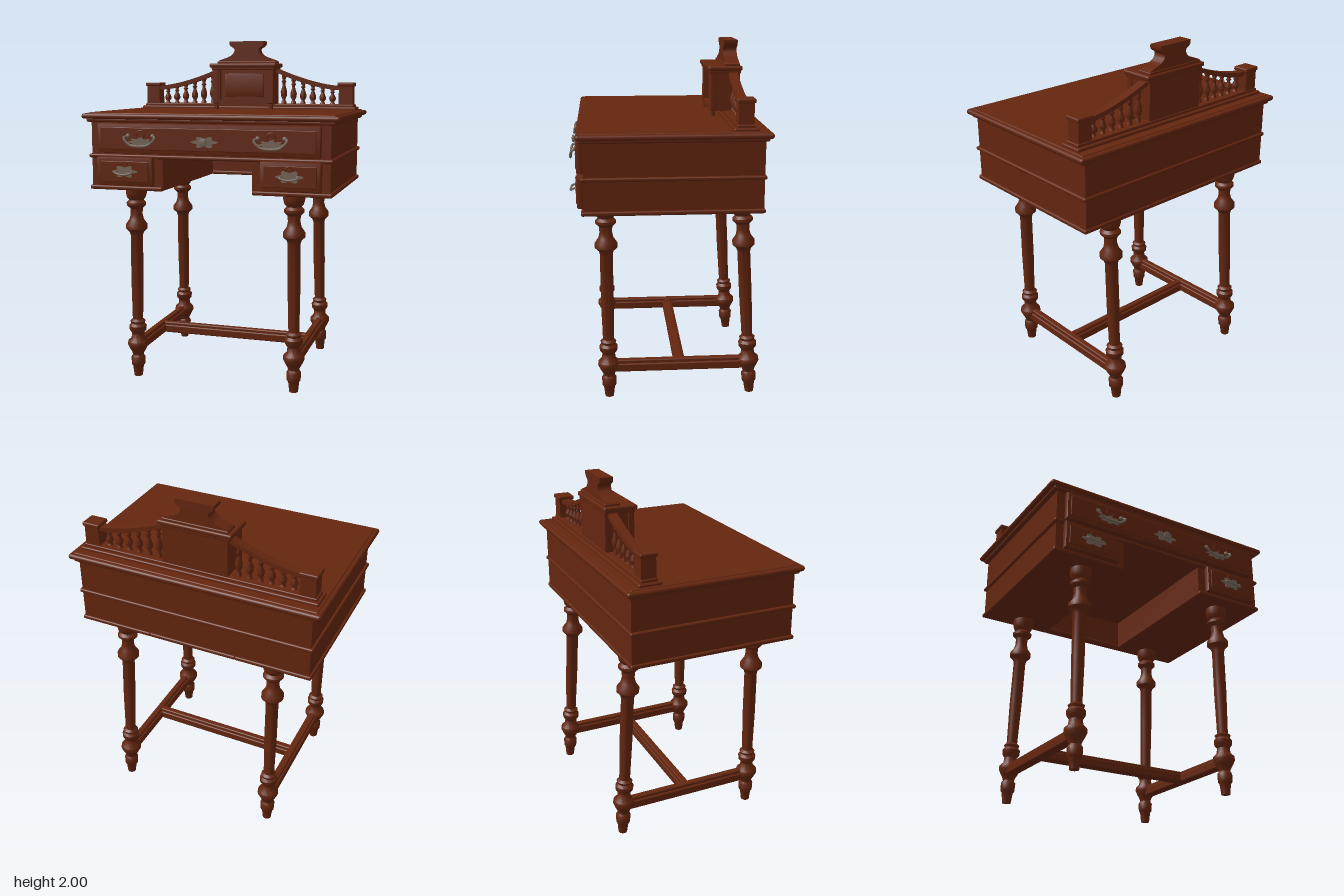
import * as THREE from 'three';
import { RoundedBoxGeometry } from 'three/addons/geometries/RoundedBoxGeometry.js';
import { toCreasedNormals } from 'three/addons/utils/BufferGeometryUtils.js';

const wood = new THREE.MeshStandardMaterial({ color: 0x64260f });
wood.name = 'reddish wood';
const metal = new THREE.MeshStandardMaterial({ color: 0x77675a });
metal.name = 'aged metal';

export function createModel() {
  const desk = new THREE.Group();
  desk.name = 'writingDesk';

  const add = (name, geo, mat = wood, parent = desk) => {
    const m = new THREE.Mesh(geo, mat);
    m.name = name;
    parent.add(m);
    return m;
  };
  // Box given by its limits; r > 0 rounds the edges
  const box = (name, x0, x1, y0, y1, z0, z1, r = 0, mat = wood) => {
    const s = [x1 - x0, y1 - y0, z1 - z0];
    const g = r ? new RoundedBoxGeometry(...s, 3, r) : new THREE.BoxGeometry(...s);
    const m = add(name, g, mat);
    m.position.set((x0 + x1) / 2, (y0 + y1) / 2, (z0 + z1) / 2);
    return m;
  };
  // The same box on both sides
  const pair = (name, x0, x1, ...rest) => {
    box(name + 'Left', x0, x1, ...rest);
    box(name + 'Right', -x1, -x0, ...rest);
  };
  const lathe = (pts, seg) => toCreasedNormals(
    new THREE.LatheGeometry(pts.map(([r, y]) => new THREE.Vector2(r, y)), seg), 0.7);
  const extrude = (shape, depth, bevel = 0) => toCreasedNormals(new THREE.ExtrudeGeometry(shape, {
    depth, bevelEnabled: bevel > 0, bevelSize: bevel, bevelThickness: bevel, bevelOffset: -bevel,
    bevelSegments: 2, curveSegments: 12 }), 0.6);
  const rect = (P, x0, x1, y0, y1) => new P([[x0, y0], [x1, y0], [x1, y1], [x0, y1]]
    .map(p => new THREE.Vector2(...p)));

  // Table top with a stepped moulding
  box('tableTop', -0.74, 0.74, 1.543, 1.573, -0.53, 0.49, 0.014);
  box('tableTopField', -0.715, 0.715, 1.56, 1.578, -0.505, 0.465, 0.006);
  box('underTopMoulding', -0.715, 0.715, 1.525, 1.55, -0.512, 0.475, 0.01);

  // Upper case, dividing moulding, two pedestals and back
  box('upperCase', -0.69, 0.69, 1.335, 1.535, -0.495, 0.455);
  box('middleMoulding', -0.705, 0.705, 1.322, 1.344, -0.505, 0.47, 0.009);
  pair('pedestal', 0.26, 0.69, 1.15, 1.33, -0.495, 0.455);
  pair('pedestalMoulding', 0.26, 0.703, 1.14, 1.164, -0.503, 0.468, 0.009);
  box('kneeholeBack', -0.265, 0.265, 1.15, 1.33, -0.495, -0.46);
  box('kneeholeBackMoulding', -0.265, 0.265, 1.14, 1.164, -0.503, -0.455, 0.009);

  // Drawer fronts with a bevelled edge
  const drawer = (name, x0, x1, y0, y1) => {
    add(name, extrude(rect(THREE.Shape, x0, x1, y0, y1), 0.026, 0.009)).position.z = 0.455;
    box(name + 'Panel', x0 + 0.022, x1 - 0.022, y0 + 0.022, y1 - 0.022, 0.475, 0.494, 0.004);
  };
  drawer('wideDrawer', -0.64, 0.64, 1.352, 1.52);
  drawer('smallDrawerLeft', 0.31, 0.645, 1.168, 1.33);
  drawer('smallDrawerRight', -0.645, -0.31, 1.168, 1.33);

  // Metal fittings: scalloped plate, bail handle and knob
  const plate = (w, h, lobes) => {
    const pts = [];
    for (let i = 0; i < 48; i++) {
      const a = i / 48 * Math.PI * 2, k = 0.82 + 0.18 * Math.cos(lobes * a);
      pts.push(new THREE.Vector2(Math.cos(a) * w * k, Math.sin(a) * h * k));
    }
    return extrude(new THREE.Shape(pts), 0.008);
  };
  const bail = (w, top, drop, r) => new THREE.TubeGeometry(new THREE.CatmullRomCurve3(
    [[-w * 0.8, top, 0], [-w, top - 0.01, 0.025], [-w * 0.6, -drop * 0.75, 0.032], [0, -drop, 0.034],
      [w * 0.6, -drop * 0.75, 0.032], [w, top - 0.01, 0.025], [w * 0.8, top, 0]]
      .map(p => new THREE.Vector3(...p))), 28, r, 8);
  const fitting = (name, x, y) => {
    const g = new THREE.Group();
    g.name = name;
    g.position.set(x, y, 0.492);
    desk.add(g);
    return g;
  };
  for (const s of [1, -1]) {
    const side = s > 0 ? 'Left' : 'Right';
    const h = fitting('wideDrawerHandle' + side, s * 0.375, 1.43);
    add('bail', bail(0.092, 0.022, 0.034, 0.007), metal, h);
    add('backPlate', plate(0.08, 0.026, 8), metal, h).position.y = -0.012;
    for (const e of [1, -1])
      add('rosette', new THREE.SphereGeometry(0.013, 12, 8), metal, h).position.set(e * 0.074, 0.022, 0.004);
    add('keyRing', new THREE.TorusGeometry(0.022, 0.004, 6, 20), wood, h).position.set(0, 0.03, 0.004);

    const p = fitting('smallDrawerHandle' + side, s * 0.475, 1.25);
    add('backPlate', plate(0.078, 0.036, 6), metal, p);
    add('bail', bail(0.05, 0.006, 0.016, 0.006), metal, p);
    add('keyRing', new THREE.TorusGeometry(0.02, 0.004, 6, 20), wood, p).position.set(0, 0.036, 0.004);
  }
  const lock = fitting('centreEscutcheon', 0, 1.425);
  add('backPlate', plate(0.078, 0.034, 6), metal, lock);
  const knob = add('knob', lathe([[0, 0], [0.012, 0], [0.01, 0.018], [0.022, 0.024], [0.022, 0.034], [0, 0.04]], 14), metal, lock);
  knob.rotation.x = Math.PI / 2;

  // Turned legs; the back pair leans
  const legGeo = lathe([[0, 0], [0.025, 0], [0.032, 0.06], [0.04, 0.07], [0.042, 0.115], [0.032, 0.13],
    [0.036, 0.145], [0.05, 0.17], [0.062, 0.195], [0.06, 0.215], [0.04, 0.235], [0.036, 0.265],
    [0.05, 0.285], [0.052, 0.31], [0.04, 0.325], [0.045, 0.34], [0.031, 0.352], [0.036, 0.6], [0.036, 0.86],
    [0.042, 0.88], [0.063, 0.9], [0.063, 0.925], [0.042, 0.955], [0.035, 0.985], [0.037, 1.02], [0.057, 1.04],
    [0.057, 1.055], [0.042, 1.07], [0.054, 1.085], [0.061, 1.11], [0.06, 1.145], [0, 1.145]], 24);
  const leg = (name, foot, top) => {
    const m = add(name, legGeo);
    m.position.set(...foot);
    const dir = new THREE.Vector3(...top).sub(m.position).normalize();
    m.quaternion.setFromUnitVectors(new THREE.Vector3(0, 1, 0), dir);
  };
  for (const s of [1, -1]) {
    const side = s > 0 ? 'Left' : 'Right';
    leg('frontLeg' + side, [s * 0.478, 0, 0.335], [s * 0.47, 1.14, 0.342]);
    leg('backLeg' + side, [s * 0.476, 0, -0.482], [s * 0.46, 1.14, -0.415]);
  }

  // H-shaped stretcher with a ridge along the top
  pair('sideStretcher', 0.446, 0.508, 0.157, 0.205, -0.48, 0.335, 0.008);
  pair('sideStretcherRidge', 0.458, 0.496, 0.2, 0.224, -0.48, 0.335, 0.008);
  box('crossStretcher', -0.47, 0.47, 0.157, 0.205, -0.104, -0.042, 0.008);
  box('crossStretcherRidge', -0.47, 0.47, 0.2, 0.222, -0.092, -0.054, 0.008);

  // Gallery base and end posts
  box('galleryBase', -0.70, 0.70, 1.57, 1.594, -0.455, -0.325, 0.008);
  box('galleryRail', -0.685, 0.685, 1.588, 1.61, -0.437, -0.342, 0.006);
  pair('endPost', 0.59, 0.675, 1.605, 1.725, -0.432, -0.35);
  pair('endPostCap', 0.581, 0.684, 1.72, 1.743, -0.44, -0.342, 0.007);

  // Swept handrails with turned spindles
  const railTop = x => 1.722 + 0.105 * Math.pow((0.6 - x) / 0.4, 1.6);
  const railShape = new THREE.Shape();
  for (let i = 0; i <= 12; i++) {
    const x = 0.19 + 0.41 * i / 12;
    railShape[i ? 'lineTo' : 'moveTo'](x, railTop(x));
  }
  for (let i = 12; i >= 0; i--) {
    const x = 0.19 + 0.41 * i / 12;
    railShape.lineTo(x, railTop(x) - 0.026);
  }
  const railGeo = extrude(railShape, 0.05);
  const spindle = lathe([[0.016, 0], [0.016, 0.1], [0.009, 0.16], [0.02, 0.3], [0.021, 0.42], [0.01, 0.62],
    [0.009, 0.7], [0.016, 0.74], [0.009, 0.8], [0.015, 0.9], [0.015, 1]], 12);
  for (const s of [1, -1]) {
    const rail = add('sweptRail' + (s > 0 ? 'Left' : 'Right'), railGeo);
    rail.position.z = s > 0 ? -0.416 : -0.366;
    if (s < 0) rail.rotation.y = Math.PI;
    if (s < 0) rail.position.z = -0.366;
    for (let i = 0; i < 6; i++) {
      const x = 0.235 + i * 0.062;
      const m = add('spindle', spindle);
      m.position.set(s * x, 1.605, -0.391);
      m.scale.y = railTop(x) - 0.015 - 1.605;
    }
  }

  // Central cabinet with a framed panel
  box('cabinetBody', -0.19, 0.19, 1.607, 1.84, -0.432, -0.3);
  const frame = rect(THREE.Shape, -0.19, 0.19, 1.607, 1.84);
  frame.holes.push(rect(THREE.Path, -0.15, 0.15, 1.635, 1.82));
  add('cabinetFrame', extrude(frame, 0.032)).position.z = -0.3;
  add('cabinetPanel', extrude(rect(THREE.Shape, -0.128, 0.128, 1.655, 1.80), 0.002, 0.008)).position.z = -0.302;
  pair('cabinetPilaster', 0.158, 0.198, 1.612, 1.83, -0.3, -0.264, 0.006);
  pair('cabinetFoot', 0.165, 0.19, 1.574, 1.62, -0.295, -0.27, 0.006);
  box('cabinetCornice', -0.215, 0.215, 1.836, 1.862, -0.443, -0.25, 0.01);
  box('corniceUnderMoulding', -0.203, 0.203, 1.82, 1.842, -0.436, -0.259, 0.007);

  // Pediment with concave shoulders and flared crown
  const half = new THREE.Shape();
  half.moveTo(-0.19, 1.858);
  half.lineTo(0.19, 1.858);
  half.lineTo(0.185, 1.878);
  half.bezierCurveTo(0.14, 1.9, 0.085, 1.9, 0.078, 1.945);
  half.bezierCurveTo(0.08, 1.965, 0.105, 1.96, 0.112, 1.982);
  half.lineTo(0.112, 2);
  half.lineTo(-0.112, 2);
  half.lineTo(-0.112, 1.982);
  half.bezierCurveTo(-0.105, 1.96, -0.08, 1.965, -0.078, 1.945);
  half.bezierCurveTo(-0.085, 1.9, -0.14, 1.9, -0.185, 1.878);
  half.closePath();
  add('pediment', extrude(half, 0.078)).position.z = -0.427;
  box('pedimentPlinth', -0.192, 0.192, 1.858, 1.876, -0.432, -0.342, 0.006);
  return desk;
}
